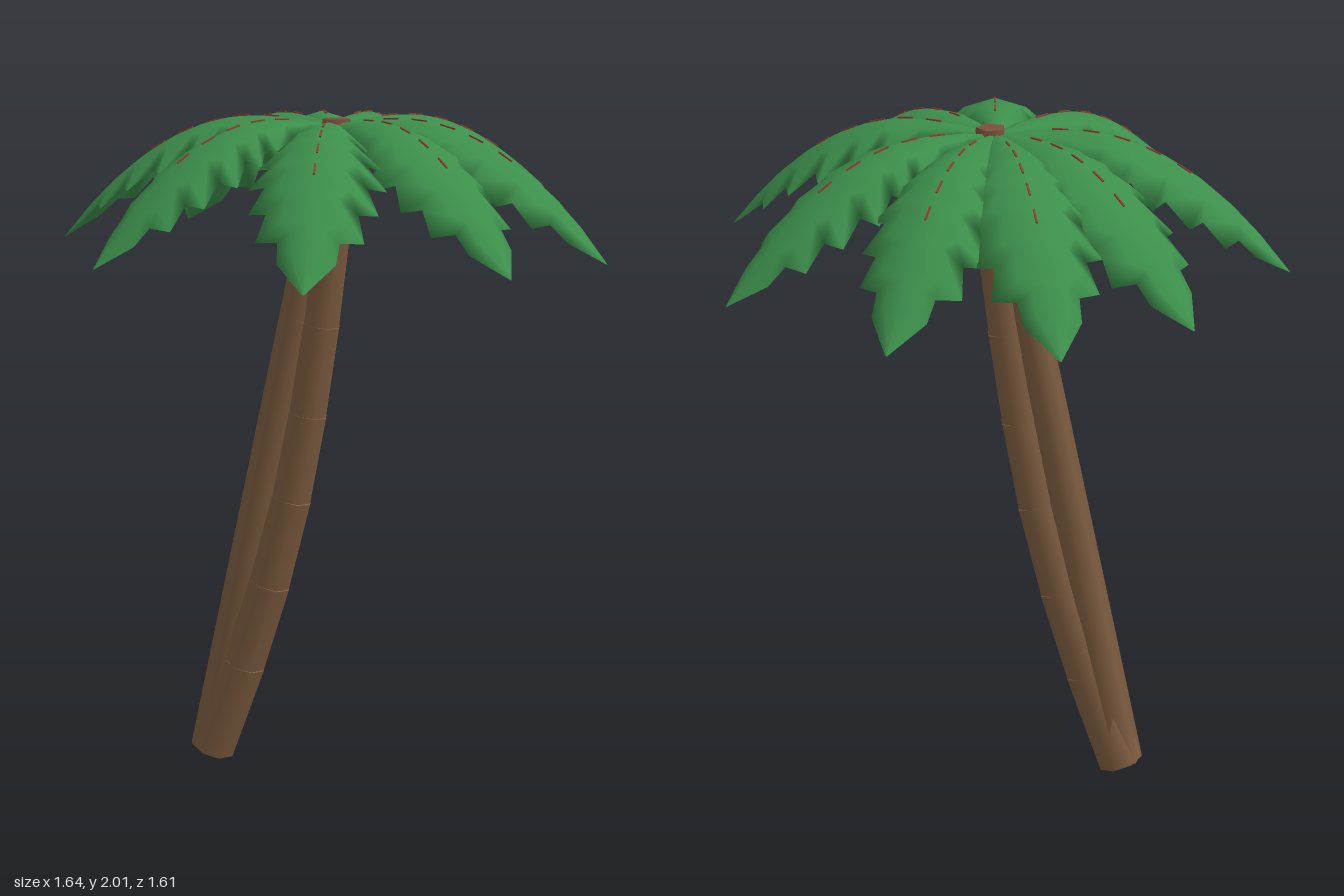
import * as THREE from 'three';

const material = (name, color) => {
  const m = new THREE.MeshStandardMaterial({ color });
  m.name = name;
  return m;
};

// Height of a frond's ridge at distance r from the crown
const ridge = (r) => 2 - (r < 0.22 ? 0.5 : 1.03) * (r - 0.22) ** 2;

// Frond stations: distance from the crown, half width (teeth and notches)
const STATIONS = [
  [0.02, 0.012], [0.1, 0.045], [0.2, 0.085], [0.28, 0.125], [0.31, 0.11],
  [0.36, 0.165], [0.39, 0.13], [0.455, 0.185], [0.485, 0.135], [0.555, 0.17],
  [0.585, 0.12], [0.65, 0.14], [0.68, 0.08], [0.73, 0.075], [0.82, 0.002],
];

// Closed, drooping leaf blade along +x
function frondGeometry() {
  const section = [[-1, 0], [-0.55, 0], [0, 0], [0.55, 0], [1, 0], [0.55, 1], [0, 1], [-0.55, 1]];
  const n = section.length;
  const pos = [], index = [];
  for (const [r, w] of STATIONS) {
    for (const [f, under] of section) {
      const y = ridge(r) - 0.55 * w * f * f - under * Math.min(0.018, w * 0.25);
      pos.push(r, y, f * w);
    }
  }
  for (let i = 0; i < STATIONS.length - 1; i++) {
    for (let j = 0; j < n; j++) {
      const a = i * n + j, b = i * n + (j + 1) % n;
      index.push(a, b, a + n, b, b + n, a + n);
    }
  }
  const g = new THREE.BufferGeometry();
  g.setAttribute('position', new THREE.Float32BufferAttribute(pos, 3));
  g.setIndex(index);
  g.computeVertexNormals();
  return g;
}

// Tapered cylinder between two points
function strut(name, a, b, ra, rb, sides, mat) {
  const dir = b.clone().sub(a);
  const mesh = new THREE.Mesh(new THREE.CylinderGeometry(rb, ra, dir.length(), sides), mat);
  mesh.position.copy(a).add(b).multiplyScalar(0.5);
  mesh.quaternion.setFromUnitVectors(new THREE.Vector3(0, 1, 0), dir.normalize());
  mesh.name = name;
  return mesh;
}

export function createModel() {
  const leafGreen = material('leaf green', 0x3c8f4b);
  const barkBrown = material('bark brown', 0x7a5a3e);
  const nutBrown = material('coconut brown', 0x7a503a);
  const ribRed = material('rib red', 0x8c4030);
  const palm = new THREE.Group();
  palm.name = 'palmTree';

  // Curved trunk made of seven rings
  const trunk = new THREE.Group();
  trunk.name = 'trunk';
  const path = [
    [-0.415, 0.02], [-0.3, 0.32], [-0.21, 0.59], [-0.135, 0.865],
    [-0.08, 1.13], [-0.035, 1.4], [0.003, 1.68], [0.01, 1.96],
  ].map(([x, y]) => new THREE.Vector3(x, y, 0));
  for (let i = 0; i < 7; i++) {
    const r = 0.073 - i * 0.0035;
    trunk.add(strut('trunkRing', path[i], path[i + 1], r, r - 0.0025, 8, barkBrown));
  }
  // Straight stem behind the curve
  trunk.add(strut('straightStem', new THREE.Vector3(-0.42, 0.025, 0),
    new THREE.Vector3(-0.012, 1.9, 0), 0.063, 0.045, 6, barkBrown));
  palm.add(trunk);

  // Five-sided crown cap
  const cap = new THREE.Mesh(new THREE.CylinderGeometry(0.042, 0.05, 0.05, 5), nutBrown);
  cap.position.set(0.01, 1.97, 0);
  cap.rotation.y = Math.PI;
  cap.name = 'crownCap';
  palm.add(cap);

  // Coconuts
  for (const z of [0.08, -0.055]) {
    const nut = new THREE.Mesh(new THREE.SphereGeometry(0.046, 16, 12), nutBrown);
    nut.position.set(-0.03, 1.87, z);
    nut.name = 'coconut';
    palm.add(nut);
  }

  // Fronds, placed by the x and z of their tips
  const blade = frondGeometry();
  const tips = [
    [0, -0.81], [0.53, -0.63], [0.82, 0], [0.67, 0.36], [0.28, 0.8],
    [-0.41, 0.65], [-0.82, 0.13], [-0.68, -0.39], [-0.42, -0.7],
  ];
  for (const [x, z] of tips) {
    const frond = new THREE.Group();
    frond.name = 'frond';
    const leaf = new THREE.Mesh(blade, leafGreen);
    leaf.name = 'leafBlade';
    frond.add(leaf);
    // Broken midrib line
    for (let r = 0.18; r < 0.6; r += 0.085) {
      const dash = new THREE.Mesh(new THREE.BoxGeometry(0.045, 0.004, 0.005), ribRed);
      dash.position.set(r, ridge(r) + 0.001, 0);
      dash.rotation.z = Math.atan2(ridge(r + 0.02) - ridge(r - 0.02), 0.04);
      dash.name = 'midribDash';
      frond.add(dash);
    }
    frond.rotation.y = Math.atan2(-z, x);
    frond.scale.x = Math.hypot(x, z) / 0.82;
    palm.add(frond);
  }
  return palm;
}
